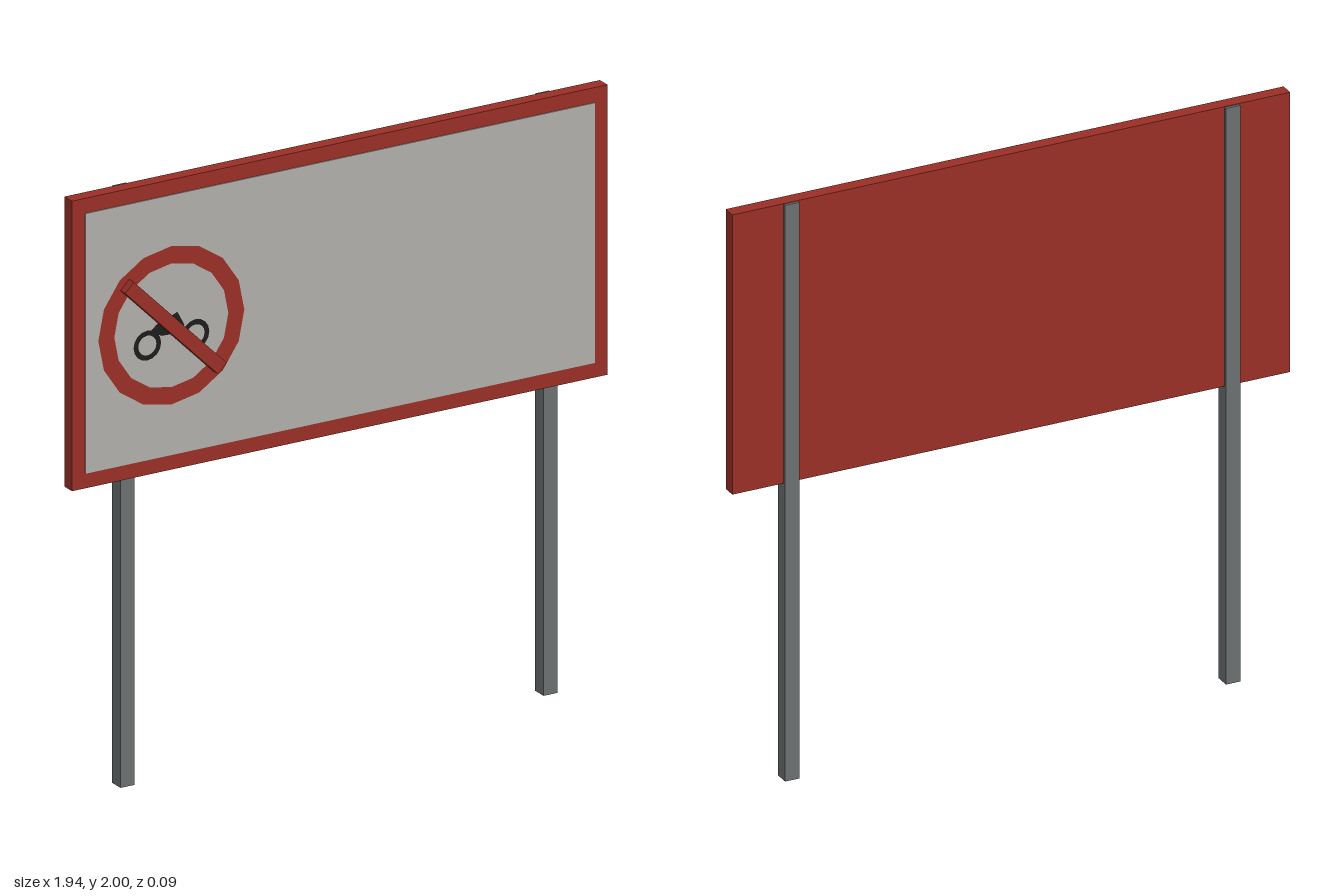
import * as THREE from 'three';

const mat = (color, side = THREE.FrontSide) =>
  new THREE.MeshStandardMaterial({ color, side, flatShading: true });

export function createModel() {
  const model = new THREE.Group();
  model.name = 'roadSign';
  const red = mat(0x9a2f26);
  const redFlat = mat(0x9a2f26, THREE.DoubleSide);
  const black = mat(0x1c1c1c, THREE.DoubleSide);
  const steel = mat(0x6b7070);

  const add = (name, geometry, material, x, y, z, parent = model) => {
    const mesh = new THREE.Mesh(geometry, material);
    mesh.name = name;
    mesh.position.set(x, y, z);
    parent.add(mesh);
    return mesh;
  };

  // Board with a slightly raised face panel
  add('board', new THREE.BoxGeometry(1.944, 0.97, 0.046), red, 0, 1.515, -0.012);
  add('facePanel', new THREE.BoxGeometry(1.85, 0.87, 0.006), mat(0xb0aea9), 0, 1.515, 0.0115);

  // Square posts running up the back of the board
  for (const [name, s] of [['leftPost', 1], ['rightPost', -1]]) {
    add(name, new THREE.BoxGeometry(0.05, 1.998, 0.051), steel, s * 0.768, 0.999, -0.0195);
  }

  // Prohibition symbol: flat ring and a thick diagonal bar
  const symbol = new THREE.Group();
  symbol.name = 'prohibitionSymbol';
  symbol.position.set(-0.615, 1.515, 0);
  model.add(symbol);
  add('ring', new THREE.RingGeometry(0.207, 0.265, 16, 1), redFlat, 0, 0, 0.0165, symbol);
  const bar = add('slashBar', new THREE.BoxGeometry(0.477, 0.045, 0.03), red, 0, 0, 0.03, symbol);
  bar.rotation.z = -Math.PI / 4;

  // Two-wheeled vehicle pictogram
  for (const [name, x, y] of [['rearWheel', -0.087, -0.05], ['frontWheel', 0.088, -0.047]]) {
    add(name, new THREE.RingGeometry(0.033, 0.05, 16, 1), black, x, y, 0.0165, symbol);
  }
  const body = new THREE.Shape([
    [-0.077, -0.006], [-0.045, 0.02], [-0.015, 0.026], [0.022, 0.041],
    [0.048, -0.008], [0.015, -0.03], [-0.035, -0.028],
  ].map(([x, y]) => new THREE.Vector2(x, y)));
  add('vehicleBody', new THREE.ShapeGeometry(body), black, 0, 0, 0.0168, symbol);

  return model;
}
